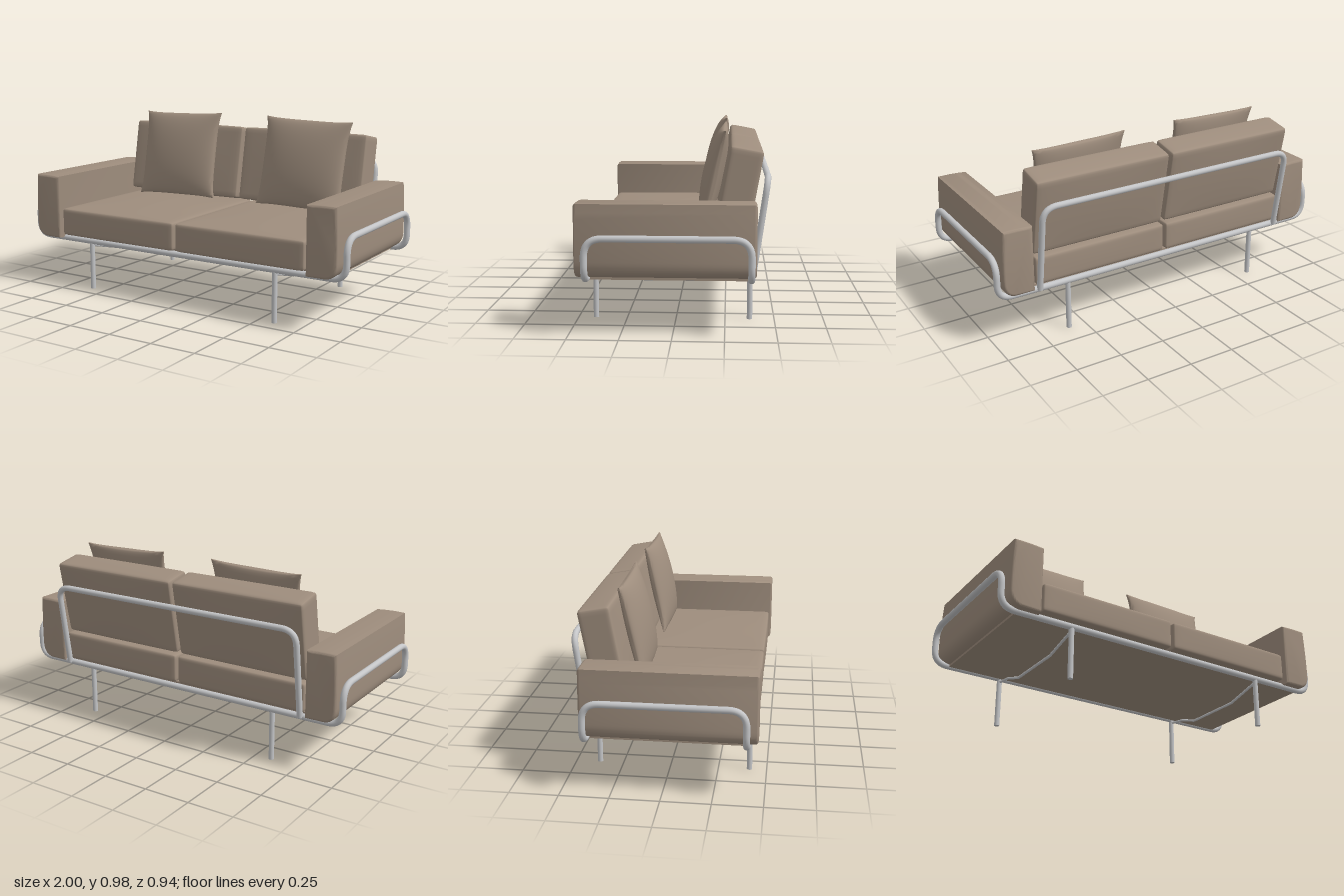
import * as THREE from 'three';
import { mergeVertices, toCreasedNormals } from 'three/addons/utils/BufferGeometryUtils.js';

const V = (x, y, z) => new THREE.Vector3(x, y, z);

// Path through points with each corner softened; corners are [x, y, z, cut]
function softPath(corners, closed) {
  const path = new THREE.CurvePath();
  const pts = corners.map(c => V(c[0], c[1], c[2]));
  const n = pts.length;
  const toward = (i, j) => {
    const cut = corners[i][3] || 0;
    return pts[i].clone().add(pts[j].clone().sub(pts[i]).setLength(cut));
  };
  let last = closed ? toward(0, 1) : pts[0];
  for (let k = 1; k < (closed ? n + 1 : n); k++) {
    const i = k % n, prev = (k - 1) % n, next = (k + 1) % n;
    if (!closed && k === n - 1) {
      path.add(new THREE.LineCurve3(last, pts[i]));
      break;
    }
    const a = toward(i, prev), b = toward(i, next);
    path.add(new THREE.LineCurve3(last, a));
    path.add(new THREE.QuadraticBezierCurve3(a, pts[i], b));
    last = b;
  }
  return path;
}

// Rounded, slightly stuffed box; bulge gives the extra fullness per axis
function cushionGeometry(w, h, d, r, bulge) {
  const g = new THREE.BoxGeometry(2, 2, 2, 16, 16, 16);
  g.deleteAttribute('uv');
  g.deleteAttribute('normal');
  const half = V(w / 2, h / 2, d / 2);
  const inner = half.clone().subScalar(r);
  const pos = g.attributes.position;
  const p = V(0, 0, 0);
  for (let i = 0; i < pos.count; i++) {
    p.fromBufferAttribute(pos, i);
    const q = V(...p.toArray().map(t => Math.sin(t * Math.PI / 2))).multiply(half);
    const core = q.clone().clamp(inner.clone().negate(), inner);
    q.sub(core).setLength(r).add(core);
    const s = V(1 - (q.x / half.x) ** 2, 1 - (q.y / half.y) ** 2, 1 - (q.z / half.z) ** 2);
    q.x += Math.sign(q.x) * bulge[0] * s.y * s.z * Math.abs(p.x);
    q.y += Math.sign(q.y) * bulge[1] * s.x * s.z * Math.abs(p.y);
    q.z += Math.sign(q.z) * bulge[2] * s.x * s.y * Math.abs(p.z);
    pos.setXYZ(i, q.x, q.y, q.z);
  }
  const m = mergeVertices(g, 1e-5);
  m.computeVertexNormals();
  return m;
}

// Scatter pillow: two stuffed faces meeting at a pinched outline with pointed corners
function pillowGeometry(w, h, front, back) {
  const g = new THREE.BoxGeometry(2, 2, 2, 24, 24, 1);
  g.deleteAttribute('uv');
  g.deleteAttribute('normal');
  const pos = g.attributes.position;
  for (let i = 0; i < pos.count; i++) {
    const u = Math.sin(pos.getX(i) * Math.PI / 2), v = Math.sin(pos.getY(i) * Math.PI / 2);
    const side = pos.getZ(i);
    const fill = Math.sqrt(Math.max(0, (1 - u * u) * (1 - v * v)));
    const x = u * w / 2 * (1 - 0.07 * (1 - v ** 4));
    const y = v * h / 2 * (1 - 0.035 * (1 - u ** 4));
    pos.setXYZ(i, x, y, side * (0.004 + (side > 0 ? front : back) * fill));
  }
  return toCreasedNormals(g, 0.9);
}

// Armrest: front profile with a wide curve at the lower outer edge, run front to back
function armGeometry(side) {
  const b = 0.014, x0 = 0.787 + b, x1 = 0.957 - b, y0 = 0.28 + b, y1 = 0.641 - b;
  const s = new THREE.Shape();
  s.moveTo(side * x0, y0);
  s.lineTo(side * (x1 - 0.06), y0);
  s.quadraticCurveTo(side * x1, y0, side * x1, y0 + 0.07);
  s.quadraticCurveTo(side * (x1 + 0.002), 0.48, side * (x1 - 0.008), y1);
  s.quadraticCurveTo(side * (x0 + x1) / 2, y1 + 0.003, side * x0, y1 - 0.003);
  s.closePath();
  const g = new THREE.ExtrudeGeometry(s, {
    depth: 0.865 - 2 * b, bevelThickness: b, bevelSize: b, bevelSegments: 4, curveSegments: 10
  });
  g.translate(0, 0, -0.4 + b);
  return toCreasedNormals(g, 0.7);
}

export function createModel() {
  const model = new THREE.Group();
  model.name = 'sofa';
  const fabric = new THREE.MeshStandardMaterial({ color: 0x9e8d7d });
  fabric.name = 'taupe fabric';
  const metal = new THREE.MeshStandardMaterial({ color: 0xc4c5c7 });
  metal.name = 'satin metal';

  const add = (name, geometry, material, x = 0, y = 0, z = 0) => {
    const mesh = new THREE.Mesh(geometry, material);
    mesh.name = name;
    mesh.position.set(x, y, z);
    model.add(mesh);
    return mesh;
  };

  // Continuous tubular frame: front and back rails rising into the side loops
  const X = 0.983, low = 0.277, high = 0.483, zf = 0.411, zb = -0.375;
  const frame = softPath([
    [-X, low, zf, 0.08], [X, low, zf, 0.08], [X, high, zf, 0.09], [X, high, zb, 0.09],
    [X, low, zb, 0.08], [-X, low, zb, 0.08], [-X, high, zb, 0.09], [-X, high, zf, 0.09]
  ], true);
  add('frameTube', new THREE.TubeGeometry(frame, 500, 0.017, 14, true), metal);

  // Leaning hoop behind the back cushions
  const hoop = softPath([
    [-0.757, low, -0.388], [-0.757, 0.745, -0.455, 0.08],
    [0.757, 0.745, -0.455, 0.08], [0.757, low, -0.388]
  ], false);
  add('backHoop', new THREE.TubeGeometry(hoop, 200, 0.016, 14), metal);

  // Upholstered base panel
  add('basePanel', new THREE.BoxGeometry(1.8, 0.032, 0.77), fabric, 0, 0.285, 0.018);

  for (const side of [-1, 1]) {
    // Legs and the bent brace joining each pair
    for (const z of [zf, zb]) {
      add('leg', new THREE.CylinderGeometry(0.014, 0.014, low, 16), metal, side * 0.592, low / 2, z);
    }
    const brace = softPath([
      [side * 0.592, 0.255, 0.41], [side * 0.592, 0.201, 0.2, 0.004],
      [side * 0.592, 0.201, -0.145, 0.004], [side * 0.592, 0.24, -0.26, 0.004],
      [side * 0.592, 0.255, -0.375]
    ], false);
    add('legBrace', new THREE.TubeGeometry(brace, 120, 0.007, 8), metal);

    add('armrest', armGeometry(side), fabric);

    add('seatCushion', cushionGeometry(0.768, 0.156, 0.838, 0.018, [0, 0.014, 0.003]),
      fabric, side * 0.391, 0.377, 0.034);

    const backCushion = add('backCushion',
      cushionGeometry(0.766, 0.42, 0.165, 0.018, [0, 0.004, 0.008]),
      fabric, side * 0.391, 0.68, -0.316);
    backCushion.rotation.x = -0.182;

    const pillow = add('scatterPillow', pillowGeometry(0.53, 0.505, 0.06, 0.04),
      fabric, side < 0 ? -0.397 : 0.432, 0.725, -0.193);
    pillow.rotation.set(-0.215, 0, -side * 0.022);
  }
  return model;
}
